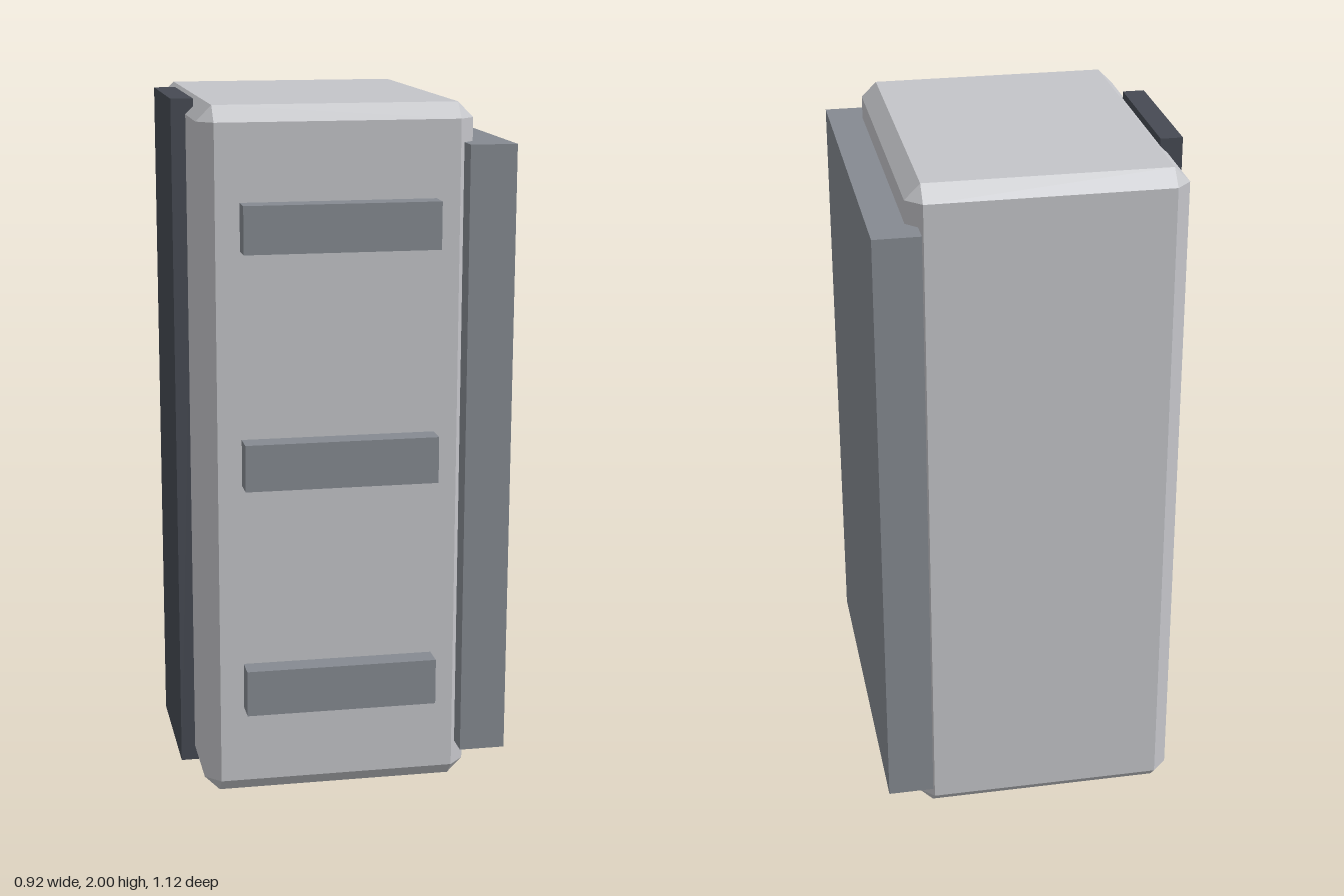
import * as THREE from 'three';
import { ConvexGeometry } from 'three/addons/geometries/ConvexGeometry.js';

const material = (name, color) => {
  const m = new THREE.MeshStandardMaterial({ color });
  m.name = name;
  return m;
};

// Box given by its [min, max] range on each axis
function box(name, mat, [x0, x1], [y0, y1], [z0, z1]) {
  const mesh = new THREE.Mesh(new THREE.BoxGeometry(x1 - x0, y1 - y0, z1 - z0), mat);
  mesh.position.set((x0 + x1) / 2, (y0 + y1) / 2, (z0 + z1) / 2);
  mesh.name = name;
  return mesh;
}

// Box with flat chamfers on every edge, centred on the origin
function chamferedBox(w, h, d, c) {
  const points = [];
  for (const sx of [-1, 1]) for (const sy of [-1, 1]) for (const sz of [-1, 1]) {
    for (let axis = 0; axis < 3; axis++) {
      const inset = [c, c, c];
      inset[axis] = 0;
      points.push(new THREE.Vector3(
        sx * (w / 2 - inset[0]), sy * (h / 2 - inset[1]), sz * (d / 2 - inset[2])));
    }
  }
  return new ConvexGeometry(points);
}

export function createModel() {
  const model = new THREE.Group();
  model.name = 'cabinet';
  const lightGrey = material('light grey', 0xc4c5c9);
  const midGrey = material('mid grey', 0x858a91);
  const darkGrey = material('dark grey', 0x464a53);

  // Chamfered main body
  const body = new THREE.Mesh(chamferedBox(0.777, 2, 0.996, 0.044), lightGrey);
  body.position.set(-0.03, 1, -0.007);
  body.name = 'body';
  model.add(body);

  // Large side panel and dark strip on the opposite side
  model.add(box('sidePanel', midGrey, [0.327, 0.46], [0.113, 1.89], [-0.56, 0.548]));
  model.add(box('sideStrip', darkGrey, [-0.46, -0.396], [0, 2], [-0.228, 0.215]));

  // Three front bars
  for (let i = 0; i < 3; i++) {
    const y = 0.337 + i * 0.667;
    model.add(box(`frontBar${i + 1}`, midGrey, [-0.306, 0.247], [y - 0.067, y + 0.067], [0.47, 0.56]));
  }
  return model;
}
